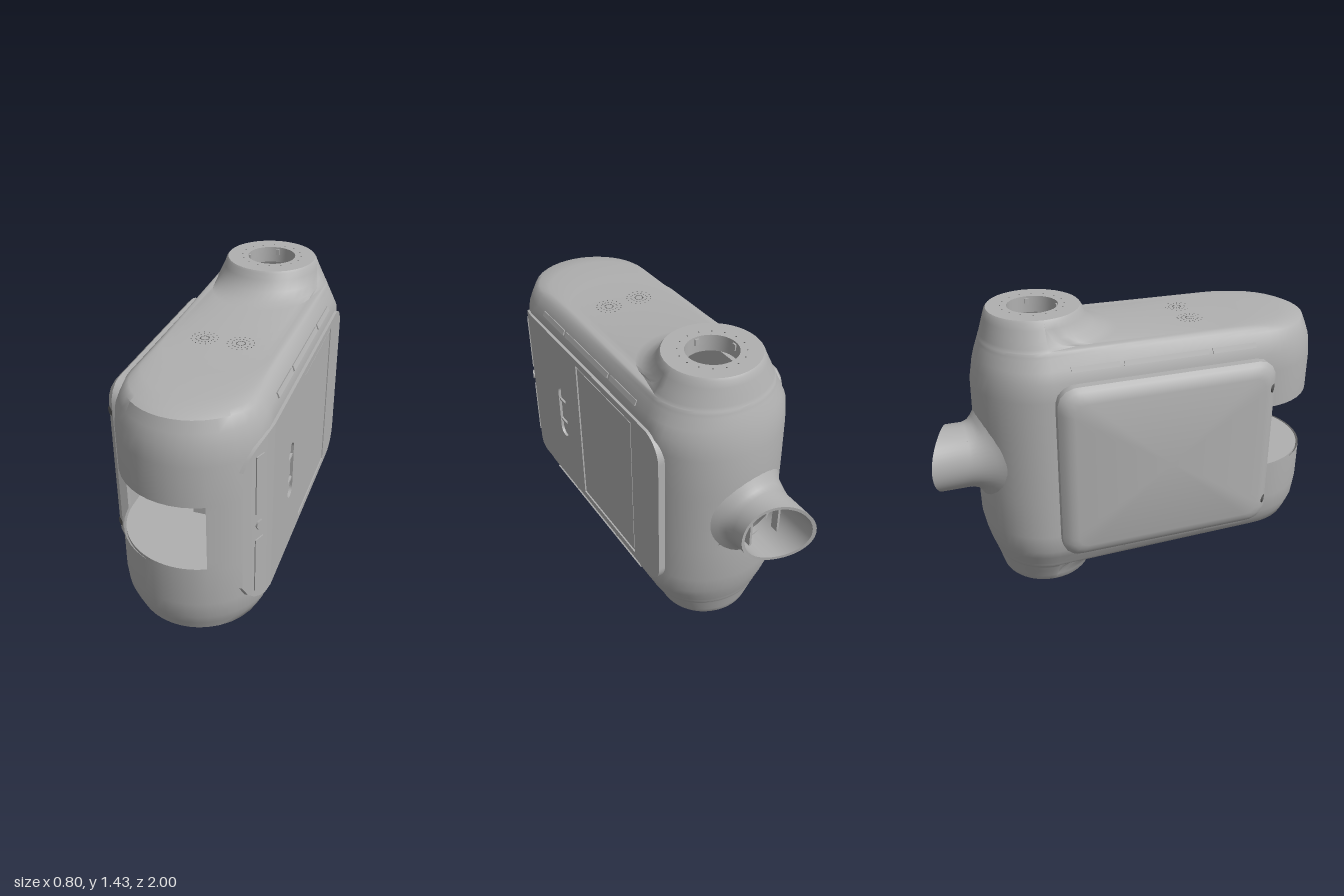
import * as THREE from 'three';
import { toCreasedNormals } from 'three/addons/utils/BufferGeometryUtils.js';

const shell = new THREE.MeshStandardMaterial({ color: 0xb0b0b0, side: THREE.DoubleSide });
shell.name = 'shell grey';
const dark = new THREE.MeshStandardMaterial({ color: 0x5a5a5a });
dark.name = 'hole grey';

const CX = 0.05, CZ = -0.44, MID = 0.715, HEIGHT = 1.43;
const PI = Math.PI;

// Skin between closed rings of [x, y, z]; cells for which skip(i, j) is true stay open
function loft(rings, skip = () => false, crease = 0.7) {
  const n = rings[0].length, index = [];
  for (let i = 0; i < rings.length - 1; i++) {
    for (let j = 0; j < n; j++) {
      if (skip(i, j)) continue;
      const a = i * n + j, c = i * n + (j + 1) % n, b = a + n, d = c + n;
      index.push(a, b, c, c, b, d);
    }
  }
  const geo = new THREE.BufferGeometry();
  geo.setAttribute('position', new THREE.Float32BufferAttribute(rings.flat(2), 3));
  geo.setIndex(index);
  return toCreasedNormals(geo, crease);
}

function roundedRect(path, x0, y0, x1, y1, r) {
  path.moveTo(x0 + r, y0);
  path.lineTo(x1 - r, y0).absarc(x1 - r, y0 + r, r, -PI / 2, 0);
  path.lineTo(x1, y1 - r).absarc(x1 - r, y1 - r, r, 0, PI / 2);
  path.lineTo(x0 + r, y1).absarc(x0 + r, y1 - r, r, PI / 2, PI);
  path.lineTo(x0, y0 + r).absarc(x0 + r, y0 + r, r, PI, PI * 1.5);
  return path;
}

// Horizontal body section: column at the back, straight sides, round nose
const NOSE_R = 6, NOSE_L = 14, SIDE = 8, BACK = 24;
const WINDOW_ANGLE = Math.acos(0.15 / 0.35);
function section(y, rs, rb, hw, zf) {
  const len = Math.min(hw, zf - CZ), zc = zf - len, pts = [];
  const add = (x, z) => pts.push([Math.min(CX + x, 0.388), y, z]);
  const nose = a => add(hw * Math.cos(a), zc + len * Math.sin(a));
  for (let k = 0; k < NOSE_R; k++) nose(WINDOW_ANGLE * k / NOSE_R);
  for (let k = 0; k < NOSE_L; k++) nose(WINDOW_ANGLE + (PI - WINDOW_ANGLE) * k / NOSE_L);
  for (let k = 0; k < SIDE; k++) {
    const t = k / SIDE;
    add(-(hw + (rs - hw) * t), zc + (CZ - zc) * t);
  }
  for (let k = 0; k < BACK; k++) {
    const a = PI + PI * k / BACK;
    add(rs * Math.cos(a), CZ + rb * Math.sin(a));
  }
  for (let k = 0; k < SIDE; k++) {
    const t = k / SIDE;
    add(rs + (hw - rs) * t, CZ + (zc - CZ) * t);
  }
  return pts;
}

function bodyGeometry() {
  // y, column half width, column back depth, nose half width, nose z
  const upper = [
    [0.845, 0.35, 0.32, 0.35, 1], [0.885, 0.35, 0.32, 0.35, 1], [1.08, 0.35, 0.317, 0.35, 1],
    [1.17, 0.35, 0.3, 0.345, 0.988], [1.22, 0.326, 0.287, 0.325, 0.97], [1.27, 0.302, 0.27, 0.3, 0.95],
    [1.283, 0.296, 0.265, 0.285, 0.92], [1.296, 0.291, 0.262, 0.27, 0.82], [1.3, 0.288, 0.26, 0.26, 0.6],
    [1.302, 0.286, 0.259, 0.255, -0.04], [1.315, 0.28, 0.255, 0.26, -0.1], [1.345, 0.265, 0.247, 0.25, -0.16],
    [1.39, 0.243, 0.234, 0.24, -0.198], [1.42, 0.23, 0.225, 0.23, -0.21], [HEIGHT, 0.222, 0.217, 0.222, -0.218],
    [HEIGHT, 0.12, 0.12, 0.12, -0.32], [1.35, 0.12, 0.12, 0.12, -0.32], [1.35, 0.17, 0.17, 0.17, -0.27],
  ];
  const lower = upper.map(([y, ...rest]) => [HEIGHT - y, ...rest]).reverse();
  const rows = [...lower, ...upper], m = lower.length;
  const back = NOSE_R + NOSE_L + SIDE + BACK / 2;
  return loft(rows.map(r => section(...r)), (i, j) =>
    (i >= m - 2 && i <= m && j >= NOSE_R && j < NOSE_R + NOSE_L) ||
    (i === m - 1 && j >= back - 3 && j < back + 3));
}

// Hollow rear spout with a flared root and a scooped end
function spoutGeometry() {
  const n = 48, cx = 0.01;
  const root = x => CZ - 0.312 * Math.sqrt(1 - ((x - CX) / 0.35) ** 2);
  const end = x => -0.88 - 0.12 * Math.pow(Math.max(0, 0.17 - x) / 0.32, 1.6);
  const ring = (r, zAt) => Array.from({ length: n }, (_, k) => {
    const a = -2 * PI * k / n, x = cx + r * Math.cos(a);
    return [x, MID + 0.005 + r * Math.sin(a), zAt(x)];
  });
  return loft([
    ring(0.225, root), ring(0.19, x => root(x) - 0.022), ring(0.17, x => Math.min(root(x) - 0.04, -0.775)),
    ring(0.16, () => -0.815), ring(0.16, end), ring(0.145, end), ring(0.145, () => -0.72),
  ]);
}

// Side pad: rounded slab with a soft bevel on its outer face
function padGeometry() {
  const ring = (x, inset) => roundedRect(new THREE.Path(), -0.44 + inset, 0.27 + inset, 0.64 - inset, 1.17 - inset, 0.09 - inset * 0.6)
    .getSpacedPoints(96).slice(0, 96).map(p => [x, p.y, p.x]).reverse();
  const centre = x => Array.from({ length: 96 }, () => [x, 0.72, 0.1]);
  return loft([
    centre(-0.31), ring(-0.31, 0.012), ring(-0.32, 0), ring(-0.358, 0),
    ring(-0.378, 0.018), ring(-0.394, 0.042), ring(-0.402, 0.07), centre(-0.402),
  ]);
}

// Flat control panel with a pill opening and a screen recess
function panelGeometry() {
  const shape = new THREE.Shape();
  shape.moveTo(-0.68, 0.275);
  shape.lineTo(0.45, 0.275).absarc(0.45, 0.395, 0.12, -PI / 2, 0);
  shape.lineTo(0.57, 1.035).absarc(0.45, 1.035, 0.12, 0, PI / 2);
  shape.lineTo(-0.68, 1.155);
  shape.holes.push(roundedRect(new THREE.Path(), -0.425, 0.57, -0.345, 0.87, 0.039));
  shape.holes.push(roundedRect(new THREE.Path(), -0.19, 0.31, 0.34, 1.12, 0.005));
  const geo = new THREE.ExtrudeGeometry(shape, { depth: 0.04, bevelEnabled: false, curveSegments: 10 });
  return geo.rotateY(PI / 2).translate(0.362, 0, 0);
}

// Panel front, curving in around the nose: z, x, half height
function panelNoseGeometry() {
  const rows = [[0.68, 0.402, 0.44], [0.74, 0.394, 0.435], [0.78, 0.383, 0.422], [0.82, 0.367, 0.4],
    [0.855, 0.348, 0.365], [0.88, 0.33, 0.31]];
  const ring = ([z, x, h]) => [[x, MID - h, z], [x - 0.07, MID - h, z], [x - 0.07, MID + h, z], [x, MID + h, z]];
  return loft(rows.map(ring));
}

// Floor or ceiling of the front bay
function bayDeckGeometry() {
  const s = new THREE.Shape();
  s.moveTo(-0.29, 0.15);
  s.lineTo(0.385, 0.15);
  s.lineTo(0.385, 0.65).absarc(CX, 0.65, 0.338, 0, PI);
  s.lineTo(-0.29, 0.15);
  return new THREE.ExtrudeGeometry(s, { depth: 0.015, bevelEnabled: false, curveSegments: 28 }).rotateX(PI / 2);
}

export function createModel() {
  const model = new THREE.Group();
  const add = (name, geo, x = 0, y = 0, z = 0, mat = shell) => {
    const mesh = new THREE.Mesh(geo, mat);
    mesh.name = name;
    mesh.position.set(x, y, z);
    model.add(mesh);
    return mesh;
  };
  const box = (name, w, h, d, x, y, z) => add(name, new THREE.BoxGeometry(w, h, d), x, y, z);

  add('body', bodyGeometry());
  add('spout', spoutGeometry());
  add('sidePad', padGeometry());
  add('controlPanel', panelGeometry());
  add('controlPanelNose', panelNoseGeometry());

  // Panel fittings
  box('screen', 0.008, 0.79, 0.51, 0.395, MID, -0.075);
  for (const y of [0.655, 0.785]) box('pillBar', 0.01, 0.012, 0.08, 0.393, y, 0.385);
  for (const s of [-1, 1]) {
    box('panelStrip', 0.006, 0.29, 0.05, 0.377, MID + s * 0.215, 0.8).rotation.y = -0.38;
  }
  add('panelButton', new THREE.CylinderGeometry(0.024, 0.024, 0.012, 6).rotateZ(PI / 2), 0.378, 0.72, 0.8).rotation.y = -0.38;

  // Slot strips along both long shoulders, top and bottom
  for (const s of [-1, 1]) {
    for (const [z0, z1] of [[0.34, 0.565], [-0.1, 0.32], [-0.35, -0.12]]) {
      for (const side of [-1, 1]) {
        const strip = box('shoulderStrip', 0.008, 0.026, z1 - z0, CX + side * 0.327, MID + s * 0.505, (z0 + z1) / 2);
        strip.rotation.z = side * s * 0.43;
      }
    }
  }

  // Pad mounts and fixing eyes
  for (const y of [0.4, 1.03]) {
    box('padMount', 0.05, 0.16, 0.7, -0.3, y, 0.1);
    add('padEye', new THREE.CylinderGeometry(0.022, 0.022, 0.02, 20).rotateX(PI / 2), -0.372, y, 0.615, dark).rotation.y = -0.7;
  }

  // Front bay behind the window
  add('bayFloor', bayDeckGeometry(), 0, 0.545, 0);
  add('bayCeiling', bayDeckGeometry(), 0, 0.9, 0);
  box('bayWallRight', 0.36, 0.34, 0.02, 0.18, MID, 0.6);
  box('bayWallLeft', 0.095, 0.34, 0.02, -0.108, MID, 0.3);
  box('bayWallAngled', 0.02, 0.34, 0.3, -0.22, MID, 0.4).rotation.y = -0.5;
  add('lens', new THREE.CylinderGeometry(0.06, 0.06, 0.03, 32).rotateX(PI / 2), 0.02, 0.72, 0.2);
  for (const x of [-0.13, -0.113, -0.147 + 0.003]) {
    for (const y of [0.645, 0.72, 0.795]) {
      add('bayHole', new THREE.CircleGeometry(0.006, 10), x, y, 0.311, dark);
    }
  }

  // Guard bars in the spout
  for (const x of [-0.085, 0.07]) box('spoutBar', 0.012, 0.25, 0.04, x, 0.72, -0.8);

  // Port rims with keys and screws, and perforated grilles, on top and bottom
  for (const s of [-1, 1]) {
    const face = h => MID + s * h, turn = -s * PI / 2;
    for (let k = 0; k < 4; k++) {
      const a = k * PI / 2;
      box('portKey', 0.02, 0.03, 0.02, CX + 0.122 * Math.cos(a), face(0.69), CZ + 0.122 * Math.sin(a));
    }
    for (let k = 0; k < 16; k++) {
      const a = (k + 0.5) * PI / 8;
      add('portHole', new THREE.CircleGeometry(0.004, 8), CX + 0.15 * Math.cos(a), face(0.716), CZ + 0.15 * Math.sin(a), dark).rotation.x = turn;
    }
    for (const x of [-0.035, 0.135]) {
      for (let k = 0; k < 48; k++) {
        const a = k % 16 * PI / 8, r = 0.02 + Math.floor(k / 16) * 0.02;
        add('grilleHole', new THREE.CircleGeometry(0.0035, 6), x + r * Math.cos(a), face(0.589), 0.32 + r * Math.sin(a), dark).rotation.x = turn;
      }
    }
  }
  return model;
}
